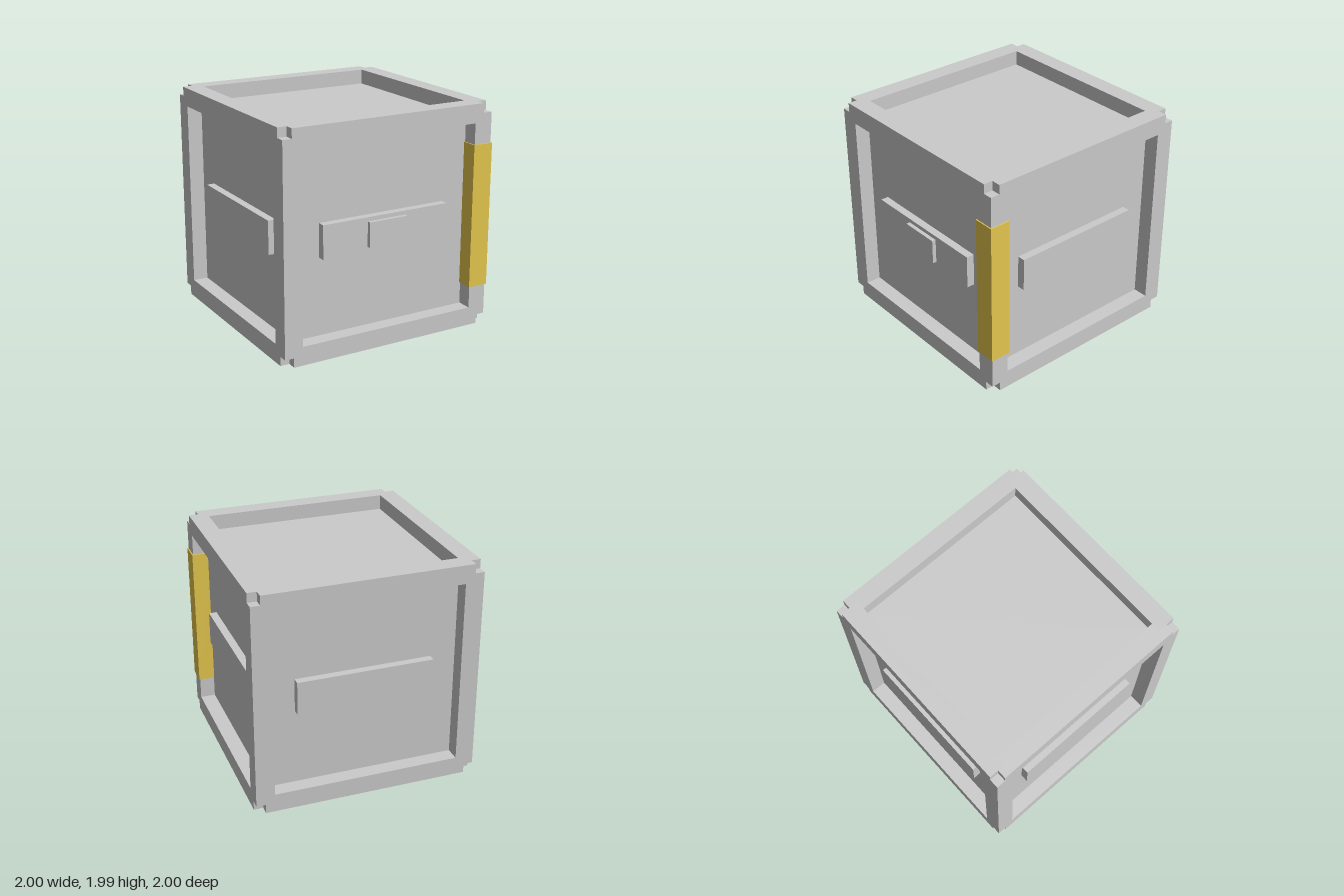
import * as THREE from 'three';

const grey = new THREE.MeshStandardMaterial({ color: 0xcccccc, flatShading: true });
const yellow = new THREE.MeshStandardMaterial({ color: 0xe6c84f, flatShading: true });

function box(parent, name, size, pos, material = grey) {
  const mesh = new THREE.Mesh(new THREE.BoxGeometry(...size), material);
  mesh.name = name;
  mesh.position.set(...pos);
  parent.add(mesh);
  return mesh;
}

export function createModel() {
  const model = new THREE.Group();
  model.name = 'crate';

  const body = new THREE.Group();
  body.name = 'body';
  body.position.set(-0.005, 0.995, -0.005);
  model.add(body);

  // Twelve square beams; each stops at the middle of its neighbours,
  // which leaves a small cubic notch at every corner
  const thick = 0.165, edge = 0.9125, length = 2 * edge;
  for (let axis = 0; axis < 3; axis++) {
    for (const a of [-1, 1]) for (const b of [-1, 1]) {
      const size = [thick, thick, thick], pos = [0, 0, 0];
      size[axis] = length;
      pos[(axis + 1) % 3] = a * edge;
      pos[(axis + 2) % 3] = b * edge;
      box(body, 'frameBeam', size, pos);
    }
  }

  // Six recessed panels; the four upright ones carry a raised bar
  const face = 0.86, panelThick = 0.03, barDepth = 0.07;
  const sides = [
    ['front', 0, 0], ['left', 0, Math.PI / 2], ['back', 0, Math.PI], ['right', 0, -Math.PI / 2],
    ['top', -Math.PI / 2, 0], ['bottom', Math.PI / 2, 0],
  ];
  for (const [name, rx, ry] of sides) {
    const side = new THREE.Group();
    side.name = name + 'Side';
    side.rotation.set(rx, ry, 0);
    body.add(side);
    box(side, 'panel', [1.7, 1.7, panelThick], [0, 0, face - panelThick / 2]);
    if (rx === 0) box(side, 'bar', [1.205, 0.295, barDepth], [0, 0.003, face + barDepth / 2]);
    // Small plate on the front bar
    if (name === 'front') box(side, 'plate', [0.365, 0.22, 0.035], [0, 0.005, face + barDepth + 0.0175]);
  }

  // Coloured sleeve around the front left upright
  box(model, 'edgeSleeve', [0.185, 1.28, 0.185], [0.9075, 1, 0.9075], yellow);

  return model;
}
